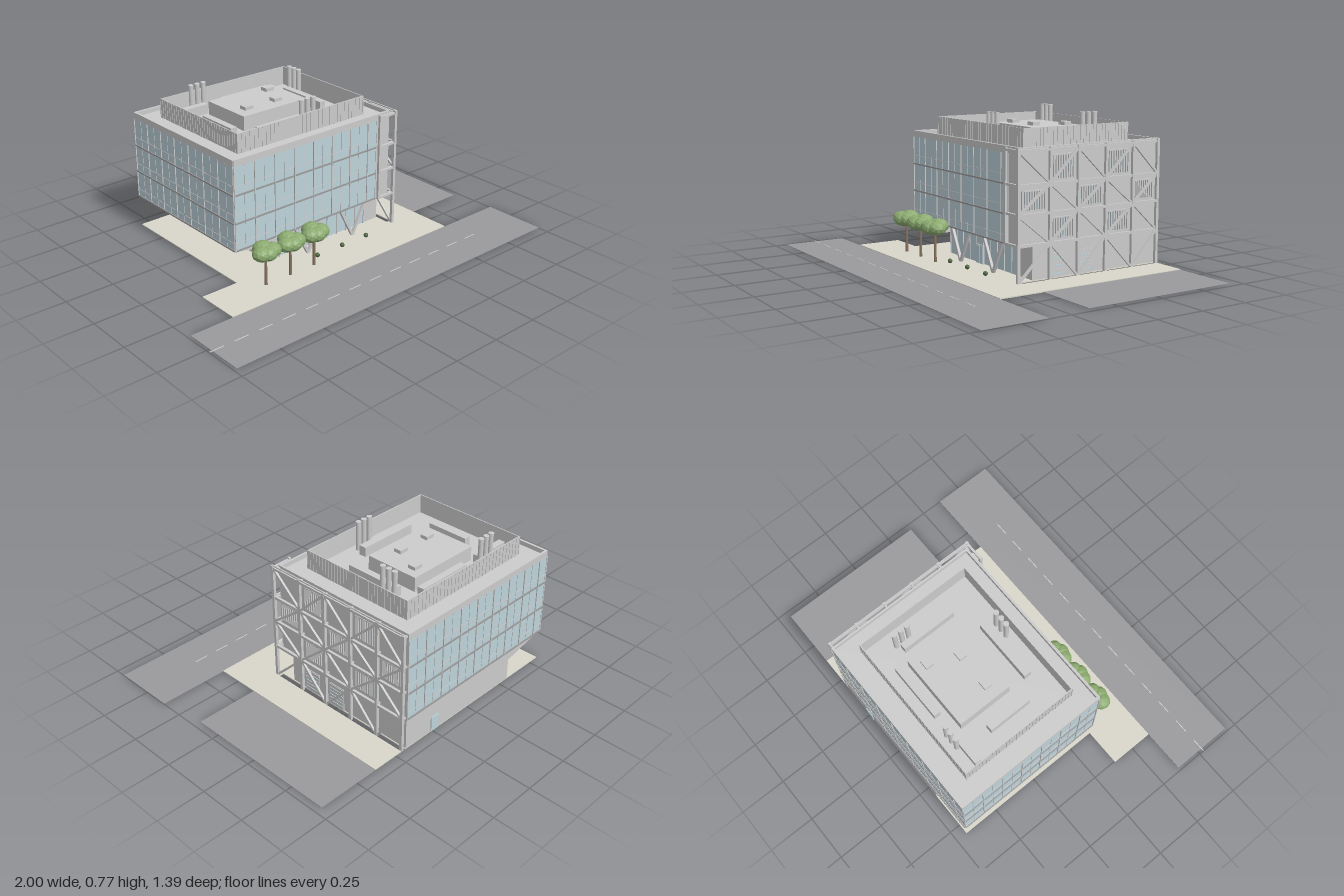
import * as THREE from 'three';

const mat = (color, flat = false) => new THREE.MeshStandardMaterial({ color, flatShading: flat });
const GREY = mat(0xcccccc), DARK = mat(0x9c9c9c), GLASS = mat(0xbdd3db), PAVING = mat(0xd9d7cb);
const ASPHALT = mat(0x9a9a9c), WHITE = mat(0xe8e8e8), LEAF = mat(0x8cab70, true), BARK = mat(0x8a7560);
const SHRUB = mat(0x4c6640, true);

export function createModel() {
  const root = new THREE.Group();
  const group = (name, parent = root) => {
    const g = new THREE.Group();
    g.name = name;
    parent.add(g);
    return g;
  };
  const add = (parent, name, geo, m, x = 0, y = 0, z = 0) => {
    const mesh = new THREE.Mesh(geo, m);
    mesh.name = name;
    mesh.position.set(x, y, z);
    parent.add(mesh);
    return mesh;
  };
  // box given by its minimum and maximum on each axis
  const box = (parent, name, m, x0, x1, y0, y1, z0, z1) =>
    add(parent, name, new THREE.BoxGeometry(x1 - x0, y1 - y0, z1 - z0), m,
      (x0 + x1) / 2, (y0 + y1) / 2, (z0 + z1) / 2);
  // square bar between two points
  const bar = (parent, name, a, b, t, m = GREY) => {
    const p = new THREE.Vector3(...a), q = new THREE.Vector3(...b);
    const mesh = add(parent, name, new THREE.BoxGeometry(t, t, p.distanceTo(q)), m);
    mesh.position.copy(p).add(q).multiplyScalar(0.5);
    mesh.lookAt(q);
    return mesh;
  };

  // ground
  const ground = group('ground');
  box(ground, 'plaza', PAVING, -0.755, 0.635, 0, 0.005, 0.132, 0.365);
  box(ground, 'basePaving', PAVING, -0.555, 0.44, 0, 0.005, -0.69, 0.132);
  box(ground, 'sidePath', PAVING, 0.465, 0.635, 0, 0.005, -0.69, 0.132);
  box(ground, 'parkingLot', ASPHALT, 0.635, 0.965, 0, 0.002, -0.69, 0.132);
  box(ground, 'road', ASPHALT, -0.985, 1, 0, 0.002, 0.365, 0.695);
  for (let i = 0; i < 13; i++) {
    const x = -1 + i * 0.134;
    box(ground, 'laneDash', WHITE, x, x + 0.075, 0.002, 0.0035, 0.523, 0.528);
  }

  // main volumes: recessed ground floor under three upper floors
  const L = -0.555, R = 0.435, F = 0.13, B = -0.69;
  const building = group('building');
  box(building, 'groundFloor', GREY, -0.31, R, 0.004, 0.17, B, 0.055);
  box(building, 'upperFloors', GREY, L, R, 0.17, 0.61, B, F);
  const wedge = new THREE.Shape([[L, 0.17], [-0.31, 0.115], [-0.31, 0.17]].map(p => new THREE.Vector2(...p)));
  add(building, 'slopedSoffit', new THREE.ExtrudeGeometry(wedge, { depth: F - B, bevelEnabled: false }), GREY, 0, 0, B);
  box(building, 'parapet', GREY, L, R, 0.6, 0.633, F - 0.01, F + 0.003);
  box(building, 'parapet', GREY, L, R, 0.6, 0.633, B - 0.003, B + 0.01);
  box(building, 'parapet', GREY, L - 0.003, L + 0.01, 0.6, 0.633, B, F);
  box(building, 'parapet', GREY, R - 0.01, R, 0.6, 0.633, B, F);

  // curtain walls, built facing +z around a local origin
  const curtainWall = (width, x, z, turn) => {
    const wall = group('curtainWall', building);
    wall.position.set(x, 0, z);
    wall.rotation.y = turn;
    const h = width / 2;
    box(wall, 'glazing', GLASS, -h, h, 0.172, 0.6, -0.002, 0.002);
    for (const y of [0.172, 0.313, 0.456]) box(wall, 'floorBand', DARK, -h, h, y - 0.004, y + 0.004, 0, 0.007);
    for (const y of [0.21, 0.355, 0.5]) box(wall, 'transom', GREY, -h, h, y - 0.0015, y + 0.0015, 0, 0.004);
    const n = Math.round(width / 0.06);
    for (let i = 0; i <= n; i++) {
      const mx = -h + (i * width) / n, t = i % 2 ? 0.0012 : 0.0025;
      box(wall, 'mullion', GREY, mx - t, mx + t, 0.172, 0.6, 0, i % 2 ? 0.004 : 0.007);
    }
  };
  curtainWall(0.9, -0.105, F, 0);
  curtainWall(R - L, (L + R) / 2, B, Math.PI);
  curtainWall(F - B, L, (F + B) / 2, -Math.PI / 2);

  // entrance front and back door
  const entrance = group('entrance');
  box(entrance, 'lobbyGlass', GLASS, -0.3, 0.335, 0.008, 0.168, 0.053, 0.059);
  for (let i = 0; i <= 10; i++) {
    const x = -0.3 + i * 0.0635;
    box(entrance, 'lobbyMullion', GREY, x - 0.002, x + 0.002, 0.005, 0.17, 0.055, 0.063);
  }
  box(entrance, 'entranceDoor', GREY, -0.042, 0.024, 0.005, 0.1, 0.055, 0.066);
  for (const s of [-0.04, -0.007]) box(entrance, 'doorLeaf', GLASS, s, s + 0.029, 0.007, 0.095, 0.06, 0.069);
  box(entrance, 'backDoor', GLASS, 0.215, 0.265, 0.005, 0.085, B - 0.005, B);

  // V-shaped columns carrying the front edge
  for (const x of [-0.1, 0.2])
    for (const s of [-1, 1]) bar(entrance, 'vColumn', [x, 0.005, 0.12], [x + s * 0.085, 0.172, 0.12], 0.014);

  // braced exterior frame on the side
  const frame = group('bracedFrame');
  const X = 0.457;
  const cols = [0.15, -0.03, -0.194, -0.36, -0.527, -0.683];
  const levels = [0.62, 0.46, 0.322, 0.178, 0.002];
  for (const z of cols) {
    bar(frame, 'frameColumn', [X, 0, z], [X, 0.633, z], 0.015);
    for (const y of levels.slice(0, 4)) bar(frame, 'frameTie', [R - 0.005, y, Math.min(z, 0.125)], [X, y, z], 0.009);
  }
  levels.slice(0, 4).forEach(y => {
    bar(frame, 'frameBeam', [X, y, cols[0]], [X, y, cols[5]], 0.013);
    bar(frame, 'returnBeam', [0.35, y, 0.15], [X, y, 0.15], 0.012);
  });
  bar(frame, 'returnColumn', [0.352, 0.172, 0.15], [0.352, 0.633, 0.15], 0.013);
  bar(frame, 'topRail', [X, 0.633, cols[0]], [X, 0.633, cols[5]], 0.006);
  for (let r = 0; r < 4; r++)
    for (let b = 0; b < 5; b++) {
      const down = (r + b) % 2 === 0, top = levels[r], low = levels[r + 1];
      const [zf, zb] = [cols[b], cols[b + 1]];
      bar(frame, 'diagonalBrace', [X, down ? top : low, zf], [X, down ? low : top, zb], 0.011);
      if (down || r === 3) continue;
      // window with upright fins behind the rising braces
      const w0 = zb + 0.018, w1 = zf - 0.018 - (b === 0 ? 0.015 : 0), y0 = low + 0.015, y1 = top - 0.03;
      const win = group('sideWindow', frame);
      box(win, 'windowGlass', GLASS, R, R + 0.003, y0, y1, w0, w1);
      for (const y of [y0, y1]) box(win, 'windowRail', GREY, R, R + 0.009, y - 0.003, y + 0.003, w0, w1);
      for (let i = 0; i <= 9; i++) {
        const z = w0 + ((w1 - w0) * i) / 9;
        box(win, 'windowFin', GREY, R, R + 0.01, y0, y1, z - 0.0035, z + 0.0035);
      }
    }
  // loading doors between the ground columns
  for (const z of [-0.035, -0.2]) {
    box(frame, 'loadingDoor', GREY, R, R + 0.004, 0.005, 0.125, z - 0.095, z);
    for (let i = 0; i < 6; i++)
      box(frame, 'doorSlat', i % 2 ? GREY : GLASS, R, R + 0.007, 0.02 + i * 0.019, 0.026 + i * 0.019, z - 0.09, z - 0.004);
  }

  // rooftop screen
  const roof = group('roofPlant');
  const [sx0, sx1, sz0, sz1] = [-0.46, 0.335, -0.59, 0.04];
  for (const z of [sz0, sz1 - 0.005]) box(roof, 'screenWall', GREY, sx0, sx1, 0.61, 0.71, z, z + 0.005);
  for (const x of [sx0, sx1 - 0.005]) box(roof, 'screenWall', GREY, x, x + 0.005, 0.61, 0.71, sz0, sz1);
  for (let i = 0; i <= 32; i++) {
    const x = sx0 + ((sx1 - sx0) * i) / 32, z = sz0 + ((sz1 - sz0) * i) / 32;
    for (const e of [sz0, sz1]) box(roof, 'screenRib', GREY, x - 0.002, x + 0.002, 0.61, 0.708, e - 0.002, e + 0.002);
    for (const e of [sx0, sx1]) box(roof, 'screenRib', GREY, e - 0.002, e + 0.002, 0.61, 0.708, z - 0.002, z + 0.002);
  }
  // plant room, hatches and ducts
  box(roof, 'plantRoom', GREY, -0.26, 0.14, 0.61, 0.685, -0.46, -0.17);
  for (const [x, z] of [[0.07, -0.397], [-0.18, -0.25], [0.005, -0.25]])
    box(roof, 'roofHatch', GREY, x - 0.025, x + 0.025, 0.685, 0.703, z - 0.021, z + 0.021);
  for (const [x0, x1, z0, z1] of [[-0.44, -0.245, -0.52, -0.485], [-0.145, 0.155, -0.525, -0.49],
    [-0.365, -0.33, -0.365, -0.135], [0.2, 0.235, -0.43, -0.135], [-0.26, 0.07, -0.08, -0.04]])
    box(roof, 'duct', GREY, x0, x1, 0.61, 0.66, z0, z1);
  // exhaust stacks in threes
  const stack = new THREE.CylinderGeometry(0.0125, 0.0125, 0.152, 16);
  const rim = new THREE.CylinderGeometry(0.014, 0.014, 0.006, 16);
  for (const [x, z, dx, dz] of [[-0.277, -0.53, 0.037, 0], [0.255, -0.405, 0, 0.037], [0.003, -0.005, 0.037, 0]])
    for (const k of [-1, 0, 1]) {
      add(roof, 'exhaustStack', stack, GREY, x + k * dx, 0.686, z + k * dz);
      add(roof, 'stackRim', rim, GREY, x + k * dx, 0.761, z + k * dz);
    }

  // street trees with clustered low-poly crowns
  const crown = new THREE.IcosahedronGeometry(1, 1);
  for (const x of [-0.46, -0.31, -0.16]) {
    const tree = group('tree');
    tree.position.set(x, 0, 0.235);
    add(tree, 'trunk', new THREE.CylinderGeometry(0.006, 0.008, 0.17, 8), BARK, 0, 0.085, 0);
    for (const [dx, dy, dz, r] of [[0, 0.187, -0.022, 0.05], [-0.033, 0.182, 0.012, 0.046],
      [0.033, 0.182, 0.008, 0.046], [0, 0.18, 0.022, 0.046]])
      add(tree, 'crown', crown, LEAF, dx, dy, dz).scale.set(r, r * 0.8, r);
  }
  // round shrubs along the entrance
  for (const x of [-0.095, 0.07, 0.235])
    add(root, 'shrub', new THREE.IcosahedronGeometry(0.012, 1), SHRUB, x, 0.016, 0.187);

  return root;
}
